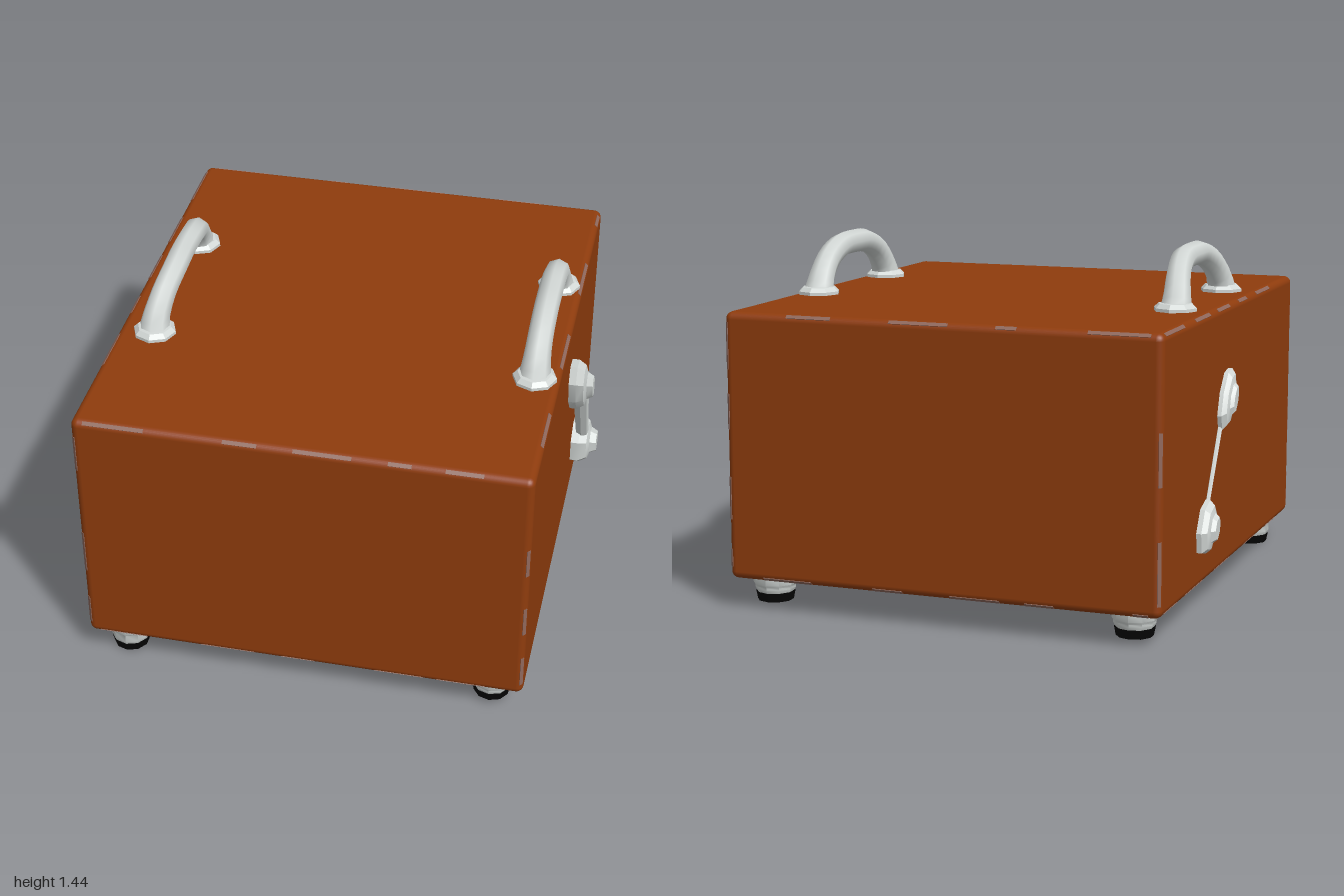
import * as THREE from 'three';
import { RoundedBoxGeometry } from 'three/addons/geometries/RoundedBoxGeometry.js';
import { toCreasedNormals } from 'three/addons/utils/BufferGeometryUtils.js';

const material = (name, color) => {
  const m = new THREE.MeshStandardMaterial({ color });
  m.name = name;
  return m;
};
const V = (x, y, z) => new THREE.Vector3(x, y, z);

export function createModel() {
  const caseBrown = material('case brown', 0x8f3c0d);
  const metal = material('pale metal', 0xd2d7d5);
  const rubber = material('black rubber', 0x050505);
  const worn = material('worn edge', 0x8f685c);

  const model = new THREE.Group();
  model.name = 'carryingCase';
  const add = (parent, name, geo, mat, x = 0, y = 0, z = 0) => {
    const mesh = new THREE.Mesh(geo, mat);
    mesh.name = name;
    mesh.position.set(x, y, z);
    parent.add(mesh);
    return mesh;
  };
  const group = (name) => {
    const g = new THREE.Group();
    g.name = name;
    model.add(g);
    return g;
  };
  const lathe = (points, sides) =>
    new THREE.LatheGeometry(points.map((p) => new THREE.Vector2(...p)), sides);

  // Case body
  const centre = [-0.027, 0.665, 0];
  const half = [0.902, 0.54, 0.997];
  add(model, 'caseBody', new RoundedBoxGeometry(half[0] * 2, half[1] * 2, half[2] * 2, 3, 0.03), caseBrown, ...centre);

  // Worn chips along the rounded edges
  let seed = 7;
  const rand = () => (seed = (seed * 16807) % 2147483647) / 2147483647;
  const wear = group('edgeWear');
  for (let axis = 0; axis < 3; axis++) {
    const b = (axis + 1) % 3, c = (axis + 2) % 3;
    for (const sb of [-1, 1]) for (const sc of [-1, 1]) {
      let t = -half[axis] + 0.05;
      while (t < half[axis] - 0.2) {
        const len = 0.06 + rand() * 0.2;
        const size = [0.016, 0.016, 0.016];
        size[axis] = Math.min(len, half[axis] - 0.04 - t);
        const pos = [...centre];
        pos[axis] += t + size[axis] / 2;
        pos[b] += sb * (half[b] - 0.0135);
        pos[c] += sc * (half[c] - 0.0135);
        const chip = add(wear, 'wornChip', new THREE.BoxGeometry(...size), worn, ...pos);
        chip.rotation['xyz'[axis]] = Math.PI / 4;
        t += len + 0.04 + rand() * 0.3;
      }
    }
  }

  // Arched handles, flared where they meet the lid
  const addHandle = (name, baseX, topX) => {
    const g = group(name);
    const path = new THREE.CatmullRomCurve3([
      V(baseX, 1.2, 0.34), V(baseX, 1.25, 0.325), V((baseX + topX) / 2, 1.335, 0.25),
      V(topX, 1.385, 0.13), V(topX, 1.393, 0), V(topX, 1.385, -0.13),
      V((baseX + topX) / 2, 1.335, -0.25), V(baseX, 1.25, -0.325), V(baseX, 1.2, -0.34),
    ]);
    const rings = 20, sides = 8;
    const geo = new THREE.TubeGeometry(path, rings, 0.05, sides);
    const p = geo.attributes.position, v = V(0, 0, 0);
    for (let i = 0; i < p.count; i++) {
      const t = Math.floor(i / (sides + 1)) / rings;
      const c = path.getPointAt(t);
      const flare = 1 + 0.4 * Math.pow(Math.abs(2 * t - 1), 6);
      v.fromBufferAttribute(p, i).sub(c).multiplyScalar(flare).add(c);
      p.setXYZ(i, v.x, v.y, v.z);
    }
    geo.computeVertexNormals();
    add(g, 'grip', toCreasedNormals(geo, 0.9), metal);
    for (const s of [-1, 1]) {
      const flange = lathe([[0.088, 0], [0.088, 0.018], [0.07, 0.035], [0, 0.045]], 8);
      add(g, 'flange', toCreasedNormals(flange, 0.5), metal, baseX, 1.2, s * 0.342);
    }
  };
  addHandle('rightHandle', -0.78, -0.748);
  addHandle('leftHandle', 0.775, 0.778);

  // Feet with rubber pads; one hangs a little lower
  const addFoot = (x, z, bottom) => {
    const g = group('foot');
    const leg = lathe([[0.076, bottom + 0.035], [0.083, bottom + 0.05], [0.083, 0.085], [0.09, 0.095], [0.09, 0.14]], 10);
    add(g, 'footCup', toCreasedNormals(leg, 0.6), metal, x, 0, z);
    add(g, 'footPad', new THREE.CylinderGeometry(0.08, 0.073, 0.036, 10), rubber, x, bottom + 0.018, z);
  };
  addFoot(-0.79, 0.875, 0);
  addFoot(0.735, 0.875, 0.025);
  addFoot(-0.79, -0.87, 0.025);
  addFoot(0.735, -0.87, 0.025);

  // Side latches: two faceted lumps joined by a slanted rod
  const lump = (side, height, long, wide, sides) => {
    const geo = lathe([[1, 0], [1, 0.35], [0.82, 0.65], [0.55, 0.75], [0.42, 1], [0, 1]], sides);
    geo.rotateZ(-side * Math.PI / 2);
    geo.scale(height, long, wide);
    return toCreasedNormals(geo, 0.5);
  };
  const addLatch = (name, side, x, upper, lower, spec) => {
    const g = group(name);
    const dy = upper[0] - lower[0], dz = upper[1] - lower[1];
    const length = Math.hypot(dy, dz);
    g.position.set(x, (upper[0] + lower[0]) / 2, (upper[1] + lower[1]) / 2);
    g.rotation.x = Math.atan2(dz, dy);
    add(g, 'latchHead', lump(side, spec.height, spec.headLong, spec.headWide, 8), metal, 0, length / 2, 0);
    add(g, 'latchFoot', lump(side, spec.height + 0.01, spec.footLong, spec.footWide, 7), metal, 0, -length / 2, 0);
    add(g, 'latchRod', toCreasedNormals(new THREE.CylinderGeometry(spec.rod * 1.25, spec.rod, length, 7), 0.5),
      metal, side * spec.rodOut, 0, 0);
  };
  addLatch('leftLatch', 1, 0.87, [0.86, -0.135], [0.365, -0.415], {
    height: 0.1, headLong: 0.165, headWide: 0.085, footLong: 0.125, footWide: 0.105, rod: 0.028, rodOut: 0.045,
  });
  addLatch('rightLatch', -1, -0.925, [0.83, -0.15], [0.36, -0.44], {
    height: 0.06, headLong: 0.135, headWide: 0.065, footLong: 0.115, footWide: 0.075, rod: 0.009, rodOut: 0.01,
  });

  return model;
}
